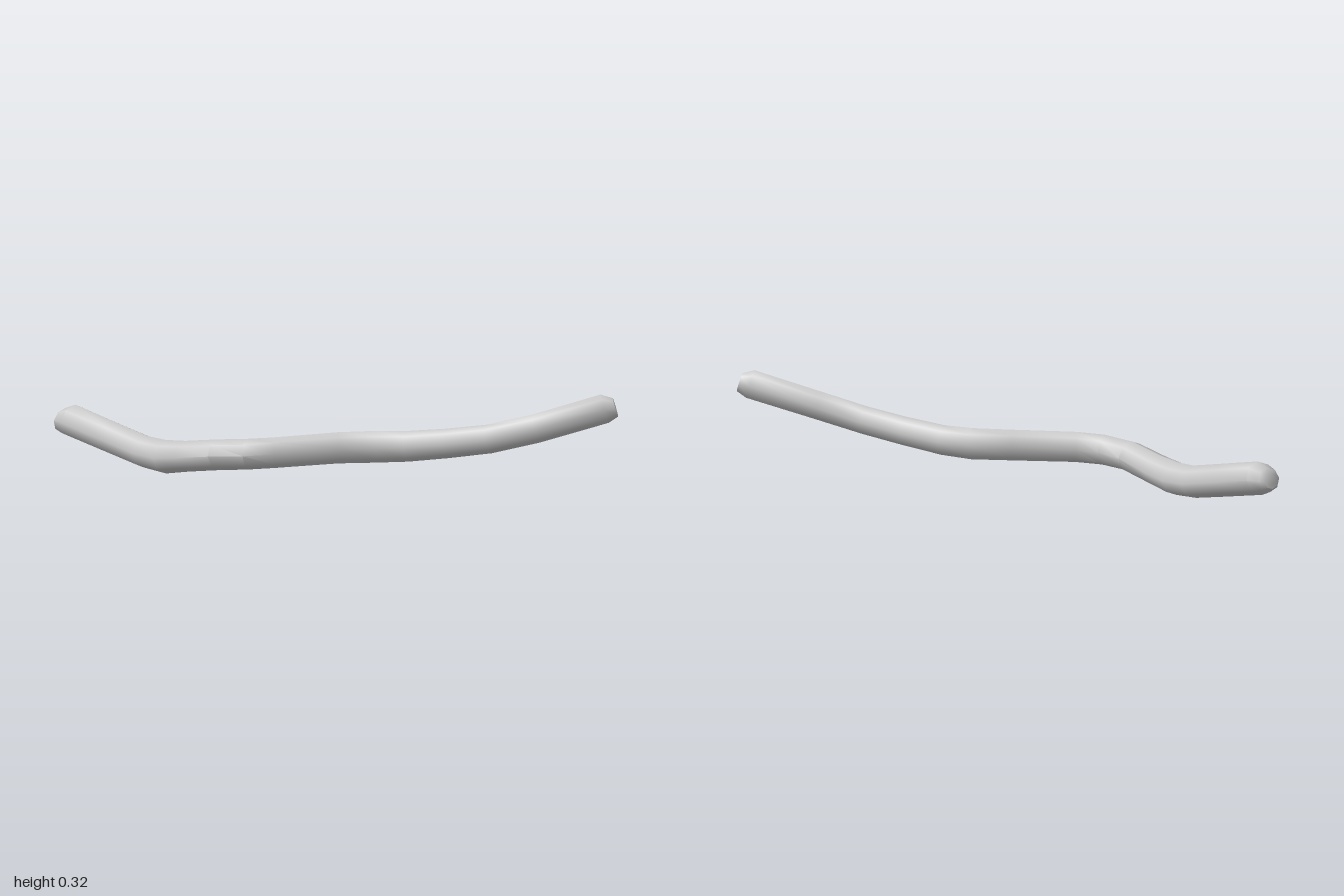
import * as THREE from 'three';
import { toCreasedNormals } from 'three/addons/utils/BufferGeometryUtils.js';

// Stations along the stick: x, y, z, half width, half height
const stations = [
  [-0.995, 0.135, 0.137, 0.03, 0.026],
  [-0.98, 0.138, 0.139, 0.048, 0.042],
  [-0.94, 0.138, 0.142, 0.061, 0.058],
  [-0.75, 0.097, 0.178, 0.06, 0.057],
  [-0.6, 0.065, 0.206, 0.062, 0.056],
  [-0.5, 0.058, 0.229, 0.062, 0.058],
  [-0.4, 0.07, 0.25, 0.061, 0.053],
  [-0.25, 0.091, 0.284, 0.059, 0.053],
  [-0.14, 0.1, 0.272, 0.054, 0.053],
  [-0.06, 0.106, 0.225, 0.044, 0.053],
  [0.1, 0.117, 0.07, 0.038, 0.054],
  [0.21, 0.12, -0.01, 0.045, 0.055],
  [0.31, 0.125, -0.045, 0.047, 0.053],
  [0.45, 0.142, -0.078, 0.046, 0.051],
  [0.6, 0.165, -0.113, 0.044, 0.05],
  [0.75, 0.205, -0.175, 0.042, 0.05],
  [0.95, 0.275, -0.303, 0.04, 0.051],
  [0.982, 0.28, -0.322, 0.025, 0.033],
];
const SIDES = 8;

// Joins elliptical rings, each set square to the path, and closes both ends
function stickGeometry() {
  const points = stations.map(([x, y, z]) => new THREE.Vector3(x, y, z));
  const last = points.length - 1;
  const up = new THREE.Vector3(0, 1, 0);
  const positions = [];
  const index = [];

  points.forEach((p, i) => {
    // Mean of the two neighbouring directions; the rounded tips reuse the shaft's direction
    const k = THREE.MathUtils.clamp(i, 2, last - 1);
    const before = points[k].clone().sub(points[k === 2 ? 2 : k - 1]).normalize();
    const after = k === last - 1 ? before : points[k + 1].clone().sub(points[k]).normalize();
    const tangent = before.clone().add(after).normalize();
    const side = tangent.clone().cross(up).normalize();
    const lift = side.clone().cross(tangent);
    const [, , , w, h] = stations[i];
    for (let j = 0; j < SIDES; j++) {
      const a = (j / SIDES) * Math.PI * 2;
      const v = p.clone().addScaledVector(side, w * Math.cos(a)).addScaledVector(lift, h * Math.sin(a));
      positions.push(v.x, v.y, v.z);
    }
  });

  // Shaft, corners anticlockwise seen from outside
  for (let i = 0; i < last; i++) {
    for (let j = 0; j < SIDES; j++) {
      const a = i * SIDES + j;
      const b = i * SIDES + ((j + 1) % SIDES);
      index.push(a, a + SIDES, b, b, a + SIDES, b + SIDES);
    }
  }

  // End caps
  const end = last * SIDES;
  for (let j = 1; j < SIDES - 1; j++) {
    index.push(0, j, j + 1);
    index.push(end, end + j + 1, end + j);
  }

  const geometry = new THREE.BufferGeometry();
  geometry.setAttribute('position', new THREE.Float32BufferAttribute(positions, 3));
  geometry.setIndex(index);
  return toCreasedNormals(geometry, 0.9);
}

export function createModel() {
  const group = new THREE.Group();
  group.name = 'crookedStick';
  const material = new THREE.MeshStandardMaterial({ color: 0xcccccc });
  const stick = new THREE.Mesh(stickGeometry(), material);
  stick.name = 'stick';
  group.add(stick);
  return group;
}
